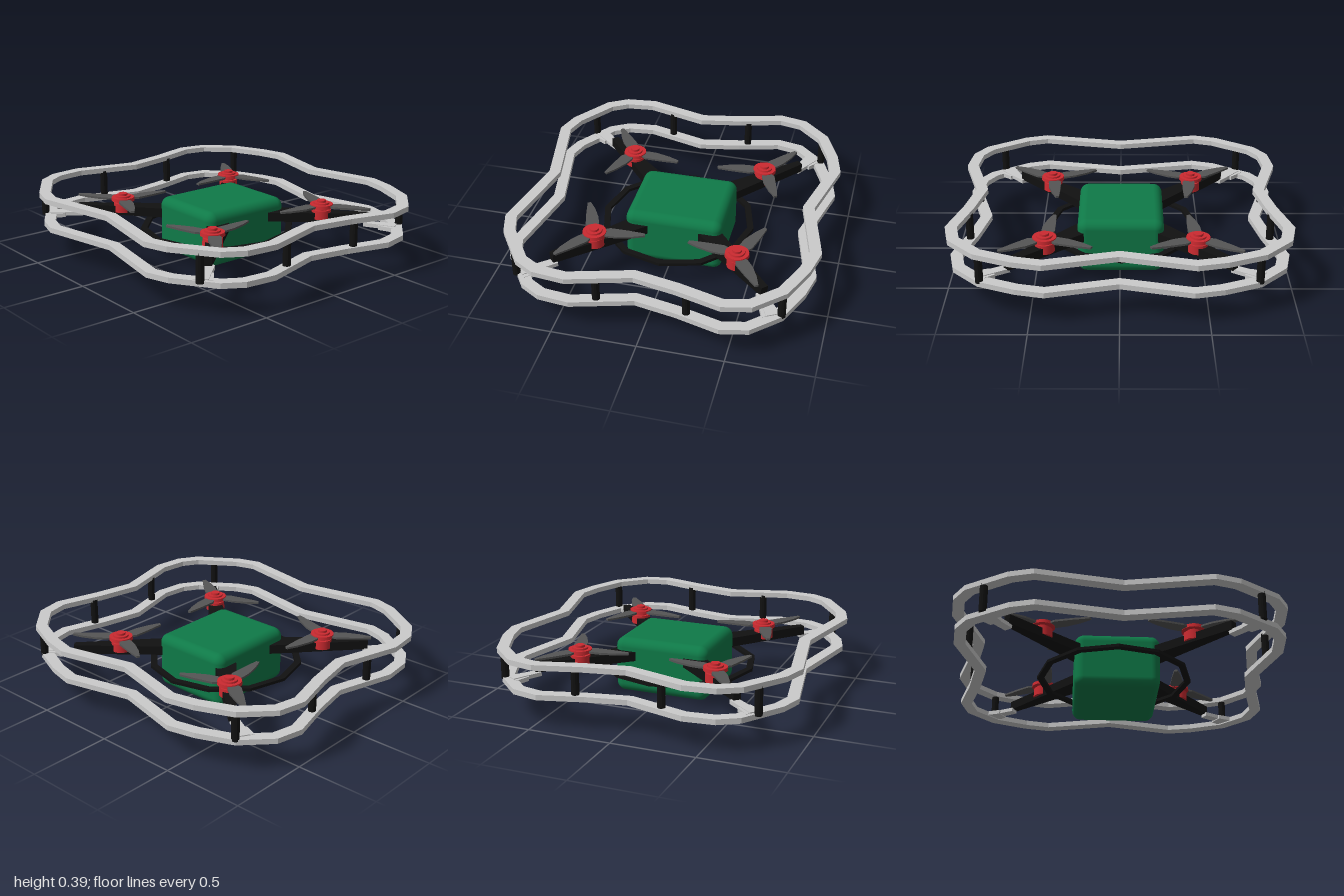
import * as THREE from 'three';
import { RoundedBoxGeometry } from 'three/addons/geometries/RoundedBoxGeometry.js';

const mat = (color, flatShading = false) => new THREE.MeshStandardMaterial({ color, flatShading });
const GREY = mat(0xcccccc, true), GREEN = mat(0x0f7a48), RED = mat(0xcc2a30);
const BLACK = mat(0x111111, true), DARK = mat(0x555555, true);
const V = (x, z) => new THREE.Vector2(x, z);

function add(parent, name, geometry, material, x = 0, y = 0, z = 0) {
  const mesh = new THREE.Mesh(geometry, material);
  mesh.name = name;
  mesh.position.set(x, y, z);
  parent.add(mesh);
  return mesh;
}

// Flat plate from a plan outline in (x, z), its top face at yTop
function plate(points, yTop, thickness, hole) {
  const shape = new THREE.Shape(points);
  if (hole) shape.holes.push(new THREE.Path(hole));
  return new THREE.ExtrudeGeometry(shape, { depth: thickness, bevelEnabled: false })
    .rotateX(Math.PI / 2).translate(0, yTop, 0);
}

// Moves a closed clockwise-from-back outline inwards by d, with mitred corners
function inset(points, d) {
  const n = points.length;
  return points.map((p, i) => {
    const a = p.clone().sub(points[(i + n - 1) % n]).normalize();
    const b = points[(i + 1) % n].clone().sub(p).normalize();
    const na = V(-a.y, a.x), nb = V(-b.y, b.x);
    const m = na.clone().add(nb).normalize();
    return p.clone().addScaledVector(m, d / m.dot(na));
  });
}

// Guard outline: back half, mirrored to the front
const backHalf = [
  [-0.83, 0], [-0.927, -0.5], [-0.883, -0.645], [-0.72, -0.888], [-0.598, -0.962], [-0.408, -0.982],
  [-0.045, -0.88], [0.2, -0.927], [0.467, -1], [0.633, -0.964], [0.798, -0.806], [0.888, -0.59],
  [0.927, -0.42], [0.825, 0],
].map(([x, z]) => V(x, z));
const guardOutline = [...backHalf, ...backHalf.slice(1, -1).reverse().map((p) => V(p.x, -p.y))];

function guardRing(scale, yTop) {
  const outer = guardOutline.map((p) => p.clone().multiplyScalar(scale));
  return plate(outer, yTop, 0.032, inset(outer, 0.068));
}

// Blade outline along +x, leading edge at negative second value
const bladeOutline = [
  [0.03, -0.02], [0.08, -0.036], [0.14, -0.041], [0.23, -0.031], [0.3, -0.013],
  [0.297, 0.007], [0.2, 0.026], [0.09, 0.042], [0.03, 0.02],
];

function rotorUnit(sx, sz) {
  const unit = new THREE.Group();
  unit.name = 'rotorUnit';
  unit.position.set(0.021 + sx * 0.426, 0, -0.008 + sz * 0.443);
  // Motor: can, neck, rotor disc, cap
  for (const [name, r, y0, y1] of [
    ['motorCan', 0.06, 0.225, 0.28], ['motorNeck', 0.042, 0.275, 0.298],
    ['rotorDisc', 0.072, 0.294, 0.315], ['rotorCollar', 0.048, 0.314, 0.325], ['rotorCap', 0.028, 0.324, 0.338],
  ]) add(unit, name, new THREE.CylinderGeometry(r * 0.97, r, y1 - y0, 24), RED, 0, (y0 + y1) / 2, 0);
  // Three blades, mirrored from corner to corner
  for (const degrees of [9, 114, 238]) {
    const c = Math.cos(degrees * Math.PI / 180), s = Math.sin(degrees * Math.PI / 180);
    const points = bladeOutline.map(([u, v]) => V(-sx * (u * c - v * s), -sz * (u * s + v * c)));
    add(unit, 'propellerBlade', plate(points, 0.309, 0.012), DARK);
  }
  return unit;
}

// Tapered bar between two plan points
function bar(a, b, wa, wb, yTop, thickness) {
  const d = b.clone().sub(a).normalize(), n = V(-d.y, d.x);
  return plate([
    a.clone().addScaledVector(n, wa), b.clone().addScaledVector(n, wb),
    b.clone().addScaledVector(n, -wb), a.clone().addScaledVector(n, -wa),
  ], yTop, thickness);
}

export function createModel() {
  const model = new THREE.Group();
  model.name = 'quadcopter';

  add(model, 'body', new RoundedBoxGeometry(0.592, 0.338, 0.512, 5, 0.055), GREEN, 0.02, 0.169, -0.004);

  // Guard frame and its posts
  add(model, 'upperGuardRing', guardRing(1, 0.386), GREY);
  add(model, 'lowerGuardRing', guardRing(0.98, 0.206), GREY);
  for (const sz of [-1, 1]) {
    for (const [x, z] of [[-0.775, 0.785], [-0.26, 0.898], [0.26, 0.898], [0.775, 0.785]]) {
      add(model, 'guardPost', new THREE.CylinderGeometry(0.023, 0.023, 0.17, 12), BLACK, x * 0.99, 0.28, sz * z * 0.99);
    }
  }

  // Thin twelve-sided ring under the arms
  const circle = (r) => Array.from({ length: 12 }, (_, i) =>
    V(-0.008 + r * Math.cos(i * Math.PI / 6), -0.01 + r * Math.sin(i * Math.PI / 6)));
  add(model, 'innerRing', plate(circle(0.473), 0.166, 0.018, circle(0.434)), BLACK);

  // Arms, mounting tabs and rotors at each corner
  for (const sx of [-1, 1]) for (const sz of [-1, 1]) {
    const at = (x, z) => V(0.021 + sx * x, -0.005 + sz * z);
    add(model, 'arm', bar(at(0.2, 0.21), at(0.625, 0.645), 0.065, 0.022, 0.264, 0.056), BLACK);
    const tip = at(0.6, 0.635);
    const foot = sx < 0 ? V(-0.745, sz * 0.775) : V(0.715, sz * 0.8);
    const middle = tip.clone().lerp(foot, 0.5);
    add(model, 'mountStub', bar(tip, foot, 0.026, 0.03, 0.212, 0.024), GREY);
    add(model, 'mountTab', bar(middle, foot, 0.04, 0.055, 0.208, 0.026), GREY);
    model.add(rotorUnit(sx, sz));
  }
  return model;
}
